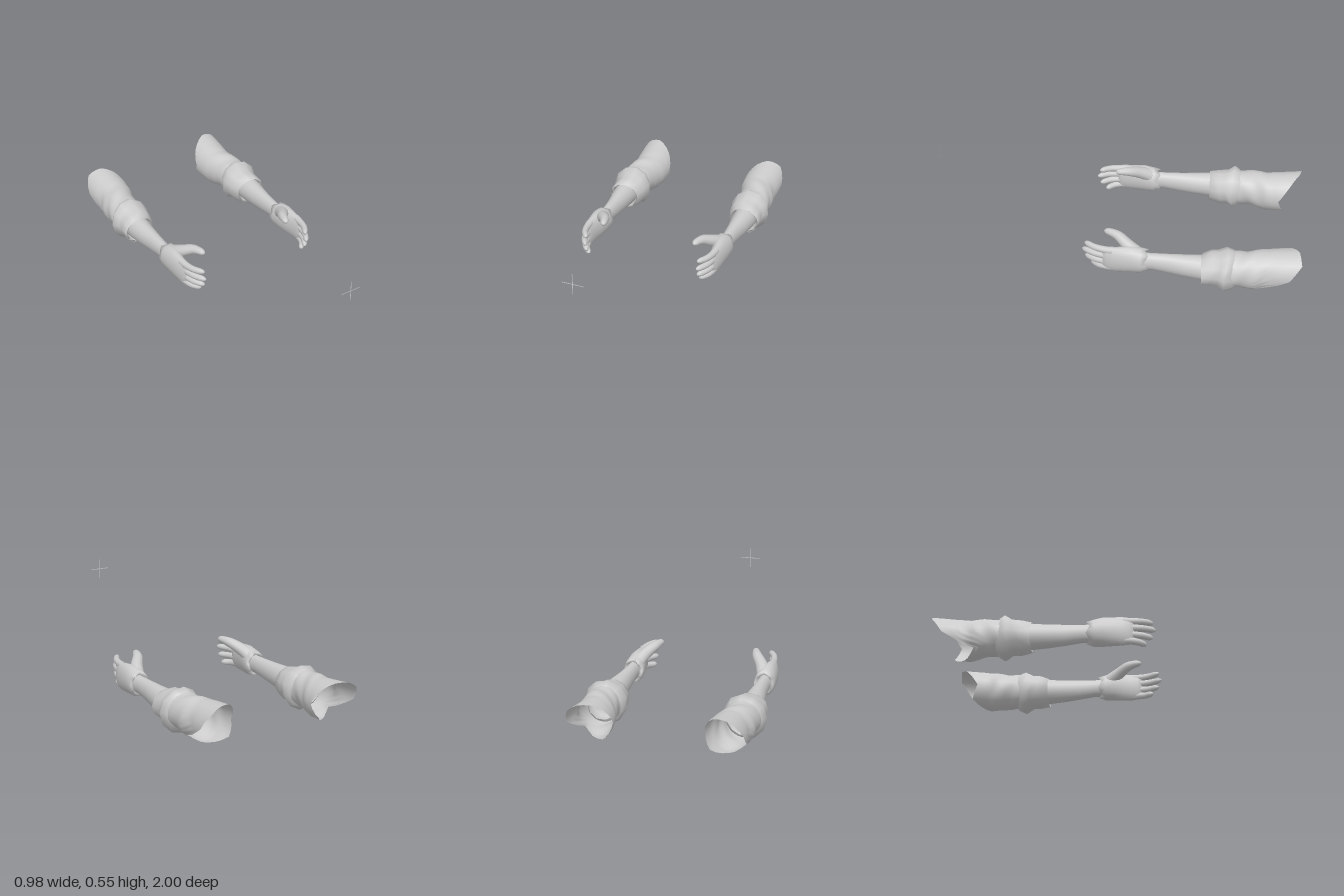
import * as THREE from 'three';

const grey = new THREE.MeshStandardMaterial({ color: 0xcccccc, side: THREE.DoubleSide });
const { lerp } = THREE.MathUtils;

// Smooth skin over a grid of points; point(i, j) returns [x, y, z], rows run from back to front.
function skin(name, rows, seg, side, point) {
  const pos = [], index = [];
  for (let i = 0; i < rows; i++)
    for (let j = 0; j < seg; j++) {
      const [x, y, z] = point(i, (j / seg) * Math.PI * 2);
      pos.push(x * side, y, z);
    }
  for (let i = 0; i < rows - 1; i++)
    for (let j = 0; j < seg; j++) {
      const k = (j + 1) % seg;
      const a = i * seg + j, b = i * seg + k, c = a + seg, d = b + seg;
      if (side > 0) index.push(a, b, c, b, d, c);
      else index.push(a, c, b, b, c, d);
    }
  const g = new THREE.BufferGeometry();
  g.setAttribute('position', new THREE.Float32BufferAttribute(pos, 3));
  g.setIndex(index);
  g.computeVertexNormals();
  const mesh = new THREE.Mesh(g, grey);
  mesh.name = name;
  return mesh;
}

// Point on an oval section [z, x0, x1, y0, y1]
function oval([z, x0, x1, y0, y1], a, k = 1) {
  return [
    (x0 + x1) / 2 + ((x1 - x0) / 2) * Math.cos(a) * k,
    (y0 + y1) / 2 + ((y1 - y0) / 2) * Math.sin(a) * k, z];
}

// Section at any z, interpolated from a list sorted from back to front
function sectionAt(list, z) {
  let i = 0;
  while (i < list.length - 2 && z > list[i + 1][0]) i++;
  const a = list[i], b = list[i + 1];
  const t = THREE.MathUtils.clamp((z - a[0]) / (b[0] - a[0]), 0, 1);
  return [z, ...[1, 2, 3, 4].map((n) => lerp(a[n], b[n], t))];
}

// Rounded tapering digit along a curve
function digit(name, side, points, r0, r1, tall) {
  const curve = new THREE.CatmullRomCurve3(points.map((p) => new THREE.Vector3(...p)));
  const rows = 15;
  return skin(name, rows, 12, side, (i, a) => {
    const t = 1 - (1 - i / (rows - 1)) ** 1.6;
    const p = curve.getPoint(t), dir = curve.getTangent(t);
    const across = new THREE.Vector3(0, 1, 0).cross(dir).normalize();
    const up = dir.clone().cross(across);
    const tip = t > 0.85 ? Math.sqrt(Math.max(0, 1 - ((t - 0.85) / 0.15) ** 2)) : 1;
    const r = lerp(r0, r1, t) * tip;
    p.addScaledVector(across, Math.cos(a) * r).addScaledVector(up, Math.sin(a) * r * tall);
    return [p.x, p.y, p.z];
  });
}

const SLEEVE = [
  [-1, 0.24, 0.461, 0.03, 0.258], [-0.87, 0.24, 0.455, 0.02, 0.243],
  [-0.8, 0.25, 0.445, 0.015, 0.236], [-0.765, 0.262, 0.462, 0.02, 0.236],
  [-0.7, 0.277, 0.46, 0.03, 0.23], [-0.6, 0.28, 0.465, 0.035, 0.225]];
// Back edge of the sleeve at every 45 degrees, from the outer side over the top
const BACK_EDGE = [-0.94, -1, -0.985, -0.93, -0.87, -0.9, -0.83, -0.77];
const CUFF = [
  [-0.66, 0.29, 0.45, 0.045, 0.215], [-0.64, 0.272, 0.47, 0.022, 0.232],
  [-0.605, 0.258, 0.488, 0.002, 0.248], [-0.57, 0.27, 0.468, 0.03, 0.225],
  [-0.53, 0.272, 0.462, 0.03, 0.22], [-0.475, 0.288, 0.464, 0.042, 0.202],
  [-0.485, 0.3, 0.452, 0.053, 0.193], [-0.56, 0.315, 0.44, 0.065, 0.19]];
const FOREARM = [
  [-0.6, 0.305, 0.445, 0.05, 0.205], [-0.47, 0.314, 0.436, 0.058, 0.198],
  [-0.38, 0.322, 0.424, 0.066, 0.194], [-0.3, 0.33, 0.411, 0.076, 0.192],
  [-0.21, 0.335, 0.404, 0.09, 0.19], [-0.14, 0.335, 0.404, 0.09, 0.19]];
const PALM = [
  [-0.165, 0.335, 0.405, 0.095, 0.19], [-0.18, 0.316, 0.42, 0.08, 0.207],
  [-0.15, 0.313, 0.425, 0.068, 0.217], [-0.1, 0.32, 0.422, 0.065, 0.228],
  [-0.05, 0.334, 0.416, 0.064, 0.225], [0, 0.345, 0.41, 0.064, 0.22],
  [0.035, 0.35, 0.4, 0.068, 0.217], [0.055, 0.358, 0.39, 0.085, 0.205],
  [0.06, 0.374, 0.375, 0.14, 0.145]];
// Finger name, base height, tip height, tip z
const FINGERS = [
  ['indexFinger', 0.2, 0.207, 0.158], ['middleFinger', 0.163, 0.166, 0.172],
  ['ringFinger', 0.125, 0.122, 0.156], ['littleFinger', 0.09, 0.083, 0.122]];

function createArm(side) {
  const arm = new THREE.Group();
  arm.name = side > 0 ? 'leftArm' : 'rightArm';

  // Upper sleeve with slanted open back and soft wrinkles
  arm.add(skin('upperSleeve', 18, 24, side, (i, a) => {
    const s = (a / (Math.PI * 2)) * 8, n = Math.floor(s);
    const back = lerp(BACK_EDGE[n % 8], BACK_EDGE[(n + 1) % 8], s - n);
    const z = lerp(back, -0.61, i / 17);
    const fade = THREE.MathUtils.smoothstep(z, -0.9, -0.72);
    return oval(sectionAt(SLEEVE, z), a, 1 + 0.03 * fade * Math.sin(3 * a + 55 * z));
  }));

  // Rolled cuff with a flared fold
  arm.add(skin('sleeveCuff', CUFF.length, 11, side, (i, a) => {
    const p = oval(CUFF[i], a);
    p[2] += 0.01 * Math.sin(2 * a + i) * (i < 5 ? 1 : 0.3);
    return p;
  }));

  arm.add(skin('forearm', FOREARM.length, 20, side, (i, a) => oval(FOREARM[i], a)));

  // Hand with an uneven edge at the wrist
  const hand = new THREE.Group();
  hand.name = 'hand';
  hand.add(skin('palm', PALM.length, 20, side, (i, a) => {
    const p = oval(PALM[i], a);
    if (i === 1) p[2] += 0.01 * Math.sin(5 * a);
    return p;
  }));
  for (const [name, y0, y1, z] of FINGERS)
    hand.add(digit(name, side, [
      [0.378, y0, 0], [0.375, y0, 0.04], [0.362, lerp(y0, y1, 0.5), lerp(0.04, z, 0.5)],
      [0.328, y1, z]], 0.021, 0.015, 1.05));
  hand.add(digit('thumb', side, [
    [0.358, 0.18, -0.125], [0.33, 0.212, -0.07], [0.296, 0.238, -0.02],
    [0.28, 0.246, 0.02], [0.268, 0.247, 0.06]], 0.04, 0.016, 0.95));
  arm.add(hand);
  return arm;
}

export function createModel() {
  const model = new THREE.Group();
  model.name = 'armsWithAimMark';
  model.add(createArm(1), createArm(-1));

  // Flat aiming cross in front of the arms
  const cross = new THREE.Group();
  cross.name = 'aimCross';
  for (const [name, w, h] of [['horizontalBar', 0.115, 0.004], ['verticalBar', 0.004, 0.115]]) {
    const bar = new THREE.Mesh(new THREE.PlaneGeometry(w, h), grey);
    bar.name = name;
    cross.add(bar);
  }
  cross.position.set(0, 0.5, 1);
  model.add(cross);
  return model;
}
